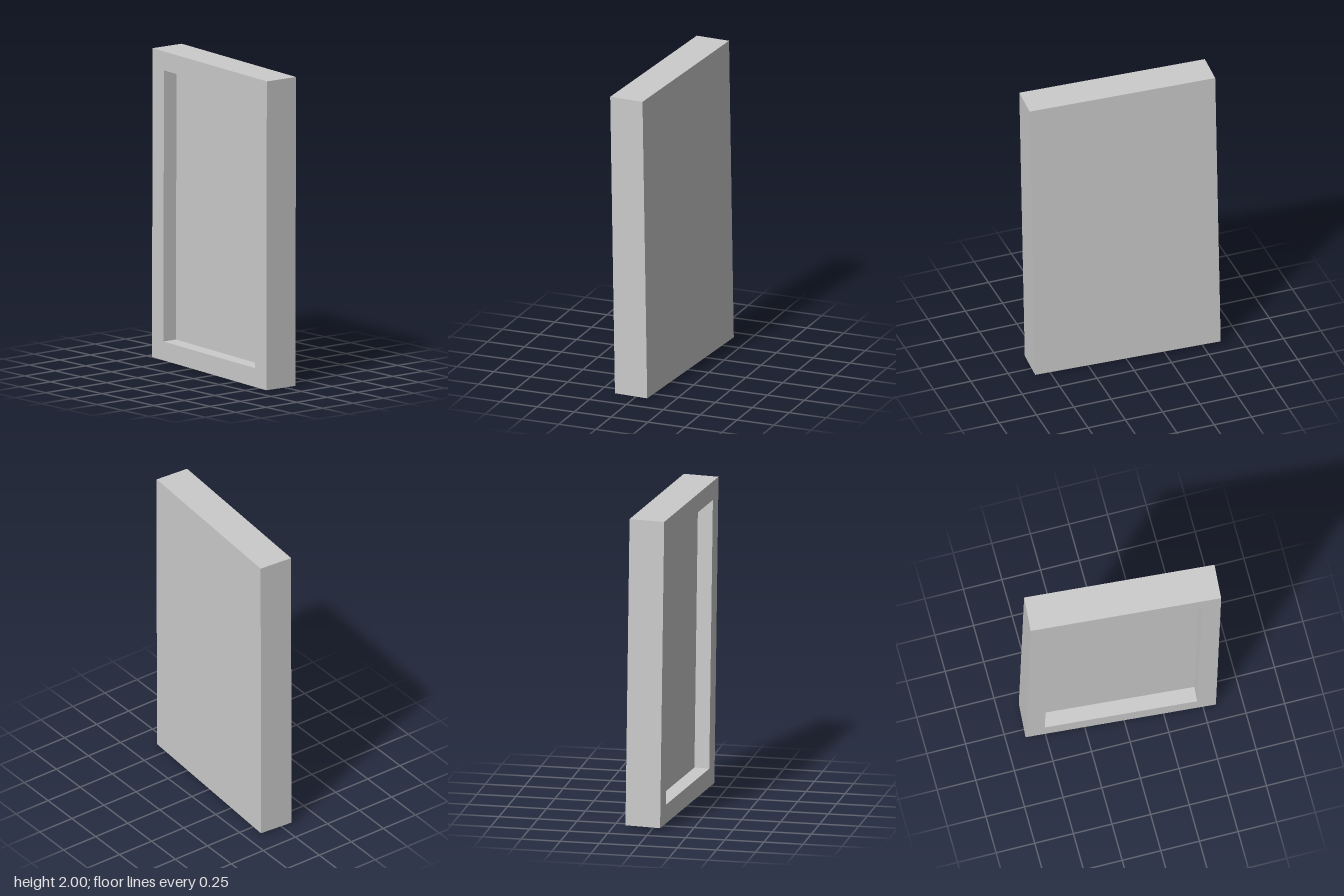
import * as THREE from 'three';

const WIDTH = 1.213, HEIGHT = 1.978, THICK = 0.226;
const BORDER = 0.121, RECESS = 0.097;

// Rectangle outline centred on the origin
function rectangle(Type, w, h) {
  const path = new Type();
  path.moveTo(-w / 2, -h / 2);
  path.lineTo(w / 2, -h / 2);
  path.lineTo(w / 2, h / 2);
  path.lineTo(-w / 2, h / 2);
  path.closePath();
  return path;
}

export function createModel() {
  const model = new THREE.Group();
  model.name = 'framedPanel';
  const material = new THREE.MeshStandardMaterial({ color: 0xcccccc, flatShading: true });

  // Solid slab: plain outer face and floor of the recess
  const slabThick = THICK - RECESS;
  const slab = new THREE.Mesh(new THREE.BoxGeometry(slabThick, HEIGHT, WIDTH), material);
  slab.name = 'backSlab';
  slab.position.x = (THICK - slabThick) / 2;

  // Raised border around the recess, facing -x
  const outline = rectangle(THREE.Shape, WIDTH, HEIGHT);
  outline.holes.push(rectangle(THREE.Path, WIDTH - 2 * BORDER, HEIGHT - 2 * BORDER));
  const frameGeometry = new THREE.ExtrudeGeometry(outline, { depth: RECESS, bevelEnabled: false });
  frameGeometry.rotateY(-Math.PI / 2);
  const frame = new THREE.Mesh(frameGeometry, material);
  frame.name = 'frame';
  frame.position.x = THICK / 2 - slabThick;

  // Slight lean and turn of the whole panel
  const tilted = new THREE.Group();
  tilted.name = 'tiltedPanel';
  const up = new THREE.Vector3(-0.02, 1.977, 0.029).normalize();
  const along = new THREE.Vector3(-0.087, -0.02, 1.21).normalize();
  const across = new THREE.Vector3().crossVectors(up, along).normalize();
  along.crossVectors(across, up);
  tilted.quaternion.setFromRotationMatrix(new THREE.Matrix4().makeBasis(across, up, along));
  tilted.position.y = 1;
  tilted.add(slab, frame);
  model.add(tilted);
  return model;
}
